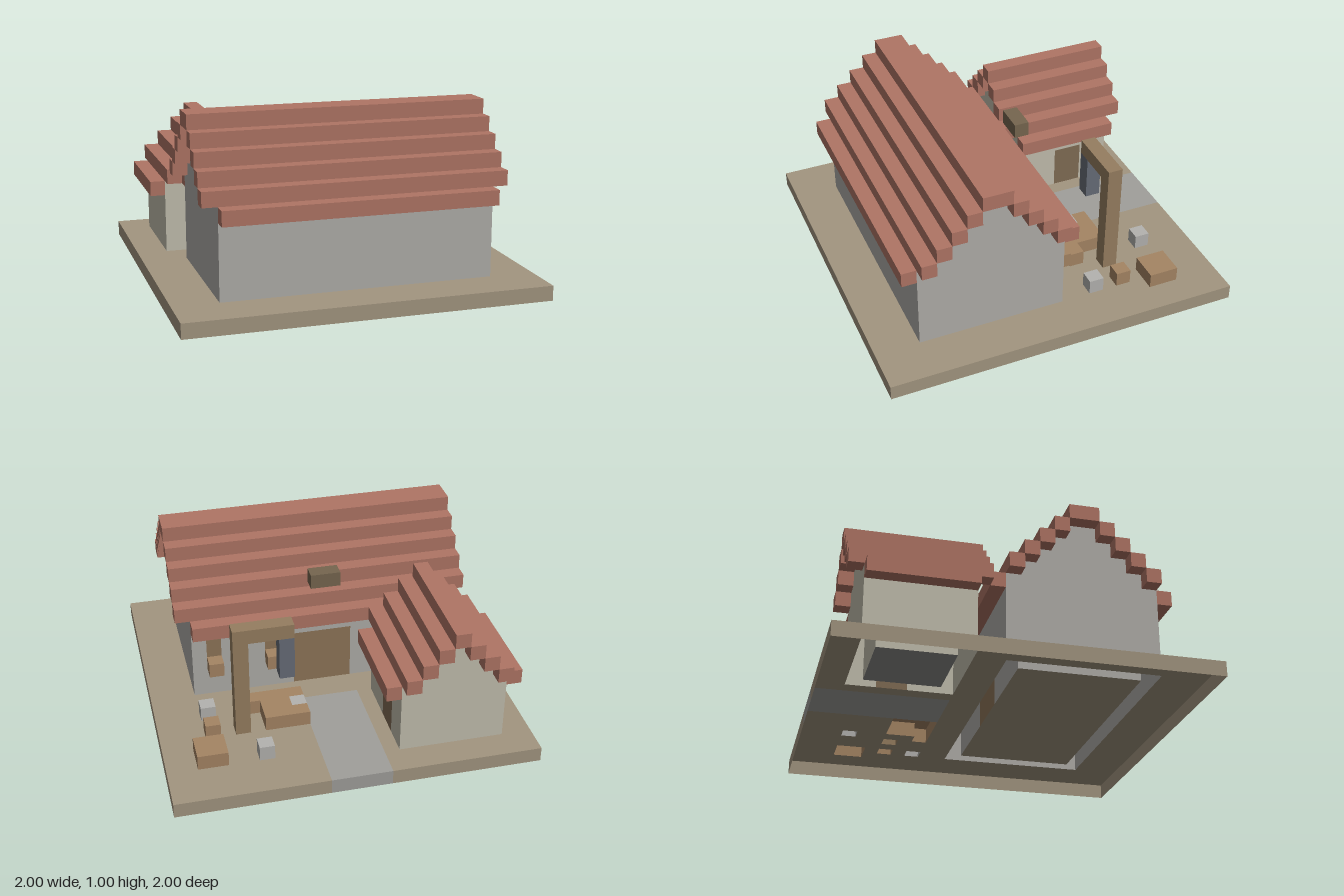
import * as THREE from 'three';

// One cell of the block grid is 1/12 unit; the ground plate is 24 x 24 cells.
const CELL = 1 / 12;

const COLORS = {
  ground: 0xa39680, path: 0xa09f9b, wingFloor: 0x8a8a88,
  houseWalls: 0xb0aea9, wingWalls: 0xc2beae,
  houseRoof: 0xb07565, wingRoof: 0xb07565,
  houseDoor: 0x8f7558, wingDoor: 0x806c54, windows: 0x8f7558, windowBoxes: 0xa58564,
  doorSign: 0x76664f, hoist: 0x967e60, hoistCloth: 0x676d78,
  timber: 0xa58564, stones: 0xb4b3b0,
};

// Each side: outward normal and its four corners, counter-clockwise from outside
const SIDES = [
  [[1, 0, 0], [[1, 0, 0], [1, 1, 0], [1, 1, 1], [1, 0, 1]]],
  [[-1, 0, 0], [[0, 0, 1], [0, 1, 1], [0, 1, 0], [0, 0, 0]]],
  [[0, 1, 0], [[0, 1, 1], [1, 1, 1], [1, 1, 0], [0, 1, 0]]],
  [[0, -1, 0], [[0, 0, 0], [1, 0, 0], [1, 0, 1], [0, 0, 1]]],
  [[0, 0, 1], [[0, 0, 1], [1, 0, 1], [1, 1, 1], [0, 1, 1]]],
  [[0, 0, -1], [[0, 1, 0], [1, 1, 0], [1, 0, 0], [0, 0, 0]]],
];

export function createModel() {
  const cells = new Map();
  const key = (x, y, z) => `${x},${y},${z}`;

  // Fills a box of cells, from the first corner up to the second
  const fill = (part, x0, x1, y0, y1, z0, z1) => {
    for (let x = x0; x < x1; x++)
      for (let y = y0; y < y1; y++)
        for (let z = z0; z < z1; z++) cells.set(key(x, y, z), { part, x, y, z });
  };

  // Ground plate with the stone path and the wing's stone floor
  fill('ground', -12, 12, 0, 1, -12, 12);
  fill('path', -2, 2, 0, 1, -12, -3);
  fill('wingFloor', -9, -4, 0, 1, -9, -4);

  // Main house: ridge along x, stepped roof, hollow walls and gable ends
  for (let z = -2; z < 10; z++) {
    const step = z < 4 ? 3 - z : z - 4;
    const y = 11 - step;
    const half = step === 5 ? 9 : 10;
    fill('houseRoof', -half, half, y, y + 1, z, z + 1);
    if (step === 5) continue;
    if (step === 4) fill('houseWalls', -9, 9, 1, y, z, z + 1);
    fill('houseWalls', -9, -8, 1, y, z, z + 1);
    fill('houseWalls', 8, 9, 1, y, z, z + 1);
  }

  // Side wing: ridge along z
  for (let x = -11; x < -2; x++) {
    const step = Math.abs(x + 7);
    const y = 9 - step;
    const inset = step === 4 ? 1 : 0;
    fill('wingRoof', x, x + 1, y, y + 1, -11 + inset, -2 - inset);
    if (step === 4) continue;
    if (step === 3) fill('wingWalls', x, x + 1, 1, y, -10, -3);
    fill('wingWalls', x, x + 1, 1, y, -10, -9);
    fill('wingWalls', x, x + 1, 1, y, -4, -3);
  }

  // Doors, windows and window boxes
  fill('houseDoor', -2, 2, 1, 5, -1, 0);
  fill('wingDoor', -4, -3, 1, 4, -8, -6);
  for (const x of [3, 7]) {
    fill('windows', x, x + 1, 4, 6, -1, 0);
    fill('windowBoxes', x, x + 1, 3, 4, -2, -1);
  }
  fill('doorSign', -1, 1, 9, 10, -2, -1);

  // Hoist in the yard: post, beam and hanging cloth
  fill('hoist', 6, 7, 1, 9, -6, -5);
  fill('hoist', 3, 7, 8, 9, -6, -5);
  fill('hoistCloth', 3, 4, 5, 8, -6, -5);

  // Timber and stones lying in the yard
  fill('timber', 2, 5, 1, 2, -6, -5);
  fill('timber', 3, 5, 1, 2, -5, -4);
  fill('timber', 2, 6, 1, 2, -4, -3);
  fill('timber', 8, 10, 1, 2, -9, -7);
  fill('timber', 8, 9, 1, 2, -6, -5);
  for (const [x, z] of [[2, -5], [8, -4], [5, -9]]) fill('stones', x, x + 1, 1, 2, z, z + 1);

  // Skin: only sides facing an empty cell; the plate is open underneath
  const skins = {};
  for (const { part, x, y, z } of cells.values()) {
    const skin = (skins[part] ??= { position: [], normal: [], index: [] });
    for (const [n, corners] of SIDES) {
      if (y + n[1] < 0 || cells.has(key(x + n[0], y + n[1], z + n[2]))) continue;
      const first = skin.position.length / 3;
      for (const [a, b, c] of corners) {
        skin.position.push((x + a) * CELL, (y + b) * CELL, (z + c) * CELL);
        skin.normal.push(...n);
      }
      skin.index.push(first, first + 1, first + 2, first, first + 2, first + 3);
    }
  }

  const model = new THREE.Group();
  model.name = 'farmhouse';
  for (const [part, skin] of Object.entries(skins)) {
    const geometry = new THREE.BufferGeometry();
    geometry.setAttribute('position', new THREE.Float32BufferAttribute(skin.position, 3));
    geometry.setAttribute('normal', new THREE.Float32BufferAttribute(skin.normal, 3));
    geometry.setIndex(skin.index);
    const material = new THREE.MeshStandardMaterial({ color: COLORS[part], side: THREE.DoubleSide });
    const mesh = new THREE.Mesh(geometry, material);
    mesh.name = part;
    model.add(mesh);
  }
  return model;
}
